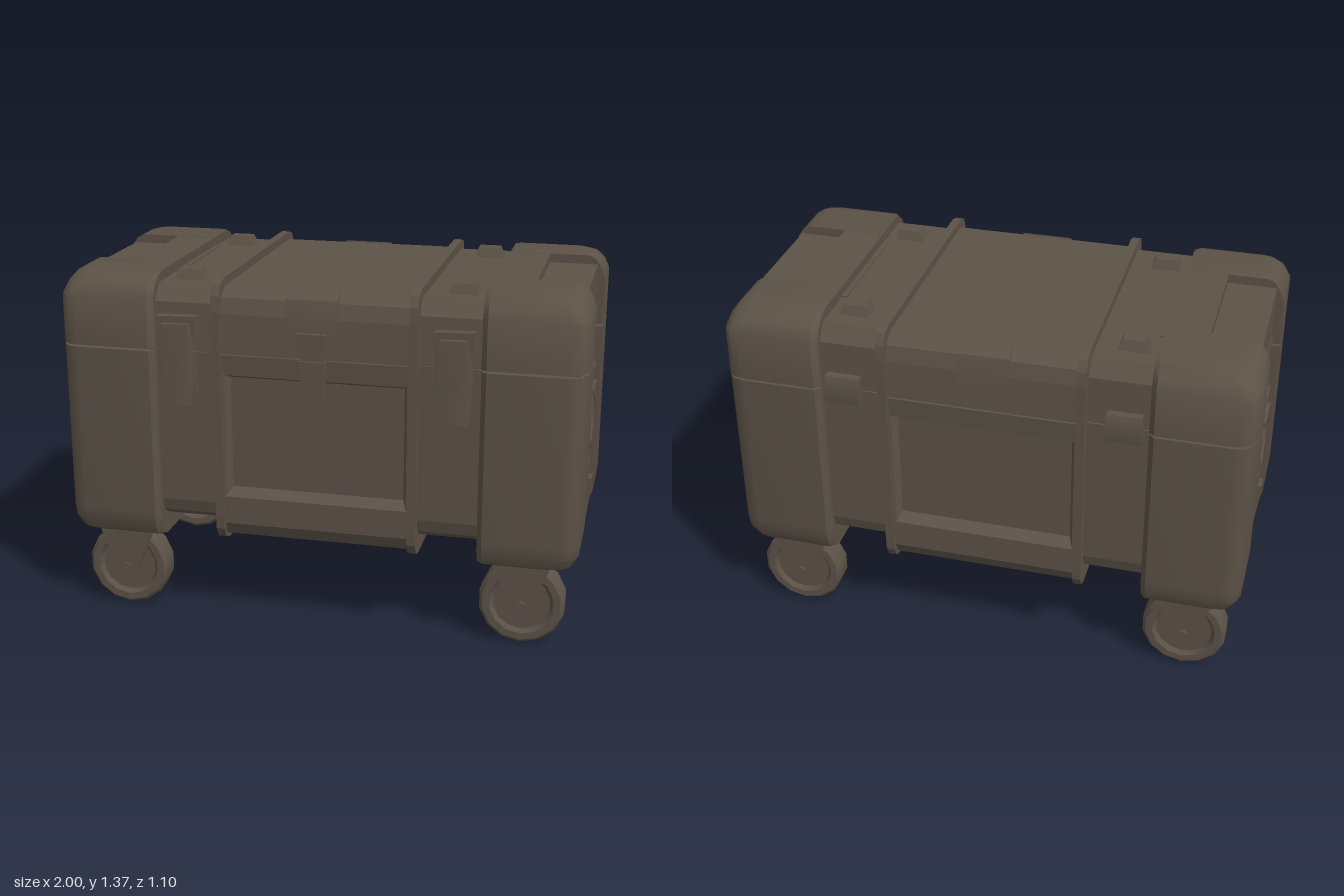
import * as THREE from 'three';
import { toCreasedNormals } from 'three/addons/utils/BufferGeometryUtils.js';
import { ConvexGeometry } from 'three/addons/geometries/ConvexGeometry.js';

const CZ = -0.02; // centre of the case in z

export function createModel() {
  const model = new THREE.Group();
  model.name = 'wheeledCase';
  const paint = new THREE.MeshStandardMaterial({ color: 0x5c5247 });
  paint.name = 'drab brown';

  const add = (name, geometry, x = 0, y = 0, z = 0, parent = model) => {
    const mesh = new THREE.Mesh(geometry, paint);
    mesh.name = name;
    mesh.position.set(x, y, z);
    parent.add(mesh);
    return mesh;
  };
  // Box given by its limits
  const box = (name, x0, x1, y0, y1, z0, z1, parent = model) =>
    add(name, new THREE.BoxGeometry(Math.abs(x1 - x0), y1 - y0, Math.abs(z1 - z0)),
      (x0 + x1) / 2, (y0 + y1) / 2, (z0 + z1) / 2, parent);
  // Solid convex piece with softened shallow edges
  const hull = (name, points, parent = model) =>
    add(name, toCreasedNormals(new ConvexGeometry(points.map(p => new THREE.Vector3(...p))), 0.6), 0, 0, 0, parent);
  // Extrude a (z, y) profile along x
  const alongX = (name, profile, x0, x1) => {
    const shape = new THREE.Shape(profile.map(([z, y]) => new THREE.Vector2(-z, y)));
    const g = new THREE.ExtrudeGeometry(shape, { depth: x1 - x0, bevelEnabled: false });
    g.rotateY(Math.PI / 2);
    g.scale(1, 1, 1);
    return add(name, g, x0, 0, 0);
  };
  // Symmetric profile from its front half, listed bottom to top
  const mirrored = half => [
    ...half.map(([d, y]) => [CZ + d, y]),
    ...half.slice().reverse().map(([d, y]) => [CZ - d, y]),
  ];
  const frustum = (x, y0, y1, z, w, d, inset) => {
    const pts = [];
    for (const a of [-1, 1]) for (const b of [-1, 1]) {
      pts.push([x + a * w, y0, z + b * d], [x + a * (w - inset), y1, z + b * (d - inset)]);
    }
    return pts;
  };

  // Corner block: levels are [y, inset in x, inset in z]
  const cornerBlock = (name, sx, sz, levels) => {
    const pts = [];
    for (const [y, ix, iz] of levels) {
      const X = 1 - ix, D = 0.53 - iz;
      for (const [x, d] of [[0.62, 0.235], [X, 0.235], [X, D - 0.07], [X - 0.015, D - 0.03],
        [X - 0.04, D - 0.008], [X - 0.075, D], [0.64, D], [0.62, D - 0.02]]) {
        pts.push([sx * x, y, CZ + sz * d]);
      }
    }
    hull(name, pts);
  };
  for (const sx of [-1, 1]) {
    for (const sz of [-1, 1]) {
      cornerBlock('cornerBase', sx, sz, [[0.32, 0.05, 0.055], [0.335, 0.025, 0.025], [0.38, 0.004, 0.004], [0.43, 0, 0], [1.084, 0, 0]]);
      cornerBlock('cornerLid', sx, sz, [[1.094, 0, -0.003], [1.28, 0, 0], [1.325, 0.018, 0.025], [1.355, 0.04, 0.06], [1.37, 0.065, 0.105]]);
    }
    // Recessed strip running over the end
    const z0 = CZ - 0.24, z1 = CZ + 0.24;
    box('seamCore', sx * 0.62, sx * 0.97, 1.05, 1.13, CZ - 0.5, CZ + 0.5);
    box('endPanel', sx * 0.6, sx * 0.967, 0.45, 1.335, z0, z1);
    box('endTopBridge', sx * 0.62, sx * 0.78, 1.3, 1.369, z0, z1);
    hull('endUnderside', [z0, z1].flatMap(z => [[sx * 0.62, 0.33, z], [sx * 0.87, 0.33, z], [sx * 0.965, 0.45, z], [sx * 0.62, 0.45, z]]));
    box('endBracket', sx * 0.94, sx * 0.979, 0.45, 0.525, z0, z1);
    box('endBracketLip', sx * 0.94, sx * 0.973, 0.525, 0.55, z0, z1);

    // Sloping skid legs and their cross bar
    for (const sz of [-1, 1]) {
      hull('skidLeg', [0.155, 0.215].flatMap(d => {
        const z = CZ + 0.005 + sz * d;
        return [[sx * 0.955, 0.465, z], [sx * 0.995, 0.465, z], [sx * 0.992, 0.4, z],
          [sx * 0.975, 0.27, z], [sx * 0.952, 0.27, z], [sx * 0.94, 0.33, z]];
      }));
    }
    box('skidBar', sx * 0.95, sx * 0.968, 0.28, 0.295, CZ - 0.17, CZ + 0.17);

    // Drop ring handle
    const ring = new THREE.TorusGeometry(0.116, 0.016, 5, 10);
    ring.rotateY(Math.PI / 2);
    add('handleRing', ring, sx * 0.981, 0.785, -0.005);
    const hz = -0.005;
    hull('handlePlate', [[-0.1, 1], [0.105, 1], [0.075, 0.885], [-0.075, 0.885]].flatMap(
      ([z, y]) => [[sx * 0.96, y, hz + z], [sx * 0.978, y, hz + z]]));
    box('handleClamp', sx * 0.96, sx * 0.998, 0.89, 0.915, hz - 0.08, hz + 0.08);
    for (const s of [-1, 1]) box('handleLug', sx * 0.96, sx * 0.99, 0.9, 0.985, hz + s * 0.065, hz + s * 0.085);
    box('handleLugTop', sx * 0.96, sx * 0.99, 0.97, 0.985, hz - 0.075, hz + 0.075);

    // Wheels, forks and axle
    for (const sz of [-1, 1]) {
      const wz = CZ + sz * 0.41;
      const profile = [[0, -0.035], [0.11, -0.035], [0.125, -0.05], [0.152, -0.05], [0.165, -0.037],
        [0.165, 0.037], [0.152, 0.05], [0.125, 0.05], [0.11, 0.035], [0, 0.035]];
      const wheel = new THREE.LatheGeometry(profile.map(p => new THREE.Vector2(...p)), 14);
      wheel.rotateX(Math.PI / 2);
      add('wheel', toCreasedNormals(wheel, 0.5), sx * 0.79, 0.165, wz);
      for (const s of [-1, 1]) {
        const fz = wz + s * 0.059;
        hull('wheelFork', [fz - 0.006, fz + 0.006].flatMap(z => [[-0.11, 0.35], [0.11, 0.35], [0.105, 0.31],
          [0.04, 0.155], [0.02, 0.132], [-0.02, 0.132], [-0.04, 0.155], [-0.105, 0.31]].map(([x, y]) => [sx * 0.785 + x, y, z])));
      }
    }
    const axle = new THREE.CylinderGeometry(0.018, 0.018, 0.97, 8);
    axle.rotateX(Math.PI / 2);
    add('axle', toCreasedNormals(axle, 0.9), sx * 0.79, 0.165, CZ);

    // Narrow body section between rib and corner blocks
    const x0 = sx > 0 ? 0.37 : -0.64;
    alongX('sideSection', mirrored([[0.43, 0.4], [0.475, 0.43], [0.49, 0.48], [0.49, 1.083], [0.482, 1.083],
      [0.482, 1.094], [0.493, 1.094], [0.485, 1.27], [0.44, 1.33]]), x0, x0 + 0.27);

    // Raised rib around the case
    const rx = sx > 0 ? 0.357 : -0.39;
    alongX('rib', mirrored([[0.46, 0.333], [0.505, 0.35], [0.528, 0.39], [0.532, 0.45], [0.532, 1.25],
      [0.525, 1.31], [0.505, 1.35], [0.46, 1.365]]), rx, rx + 0.033);

    // Bumps on the lid
    for (const z of [-0.35, 0.31]) hull('lidBump', frustum(sx * 0.525, 1.32, 1.368, z, 0.06, 0.045, 0.018));

    // Front toggle latches
    const latch = new THREE.Group();
    latch.name = 'sideLatch';
    latch.position.set(sx * 0.525, 1.05, 0.47);
    latch.rotation.z = 0.03;
    model.add(latch);
    box('latchBase', -0.06, 0.06, -0.12, 0.13, -0.01, 0.02, latch);
    box('latchHook', -0.075, 0.075, 0.1, 0.175, -0.01, 0.035, latch);
    hull('latchLever', [-1, 1].flatMap(s => [[s * 0.05, 0.15, 0.025], [s * 0.05, 0.15, 0.055], [s * 0.065, 0.08, 0.058],
      [s * 0.065, 0, 0.062], [s * 0.055, -0.16, 0.075], [s * 0.055, -0.16, 0.06], [s * 0.065, 0, 0.015]]), latch);
    const pin = box('latchPin', -0.02, 0.02, -0.02, 0.02, 0.05, 0.068, latch);
    pin.rotation.z = 0.5;

    // Back hinges
    hull('hinge', [-0.065, 0.065].flatMap(x => [[1.15, 0.48], [1.15, 0.52], [1.11, 0.535], [1.04, 0.525], [1.03, 0.48]]
      .map(([y, d]) => [sx * 0.53 + x, y, CZ - d])));
  }

  // Central body with recessed panels front and back
  alongX('centreBody', mirrored([[0.44, 0.34], [0.49, 0.36], [0.515, 0.41], [0.515, 0.52], [0.475, 0.55],
    [0.475, 0.99], [0.51, 1.005], [0.515, 1.085], [0.503, 1.085], [0.503, 1.094], [0.518, 1.094],
    [0.51, 1.24], [0.495, 1.3], [0.455, 1.333]]), -0.37, 0.37);
  for (const sz of [-1, 1]) {
    for (const sx of [-1, 1]) {
      hull('panelSideFrame', [0.5, 1.02].flatMap(y => [[0.37, 0.46], [0.37, 0.515], [0.35, 0.512], [0.328, 0.46]]
        .map(([x, d]) => [sx * x, y, CZ + sz * d])));
    }
    // Plate on the lid edge
    hull('lidPlate', [-0.105, 0.09].flatMap(x => [[1.16, 0.49], [1.16, 0.525], [1.25, 0.52], [1.31, 0.505], [1.338, 0.46], [1.3, 0.45]]
      .map(([y, d]) => [x, y, CZ + sz * d])));
  }

  // Centre latch
  box('centreLatchHook', -0.065, 0.05, 1.135, 1.19, 0.48, 0.522);
  box('centreLatchLever', -0.05, 0.04, 0.99, 1.17, 0.48, 0.512);
  box('centreLatchTongue', -0.05, 0.035, 0.93, 1.0, 0.465, 0.503);
  box('centreLatchBar', -0.055, 0.045, 1.06, 1.085, 0.49, 0.52);

  return model;
}
